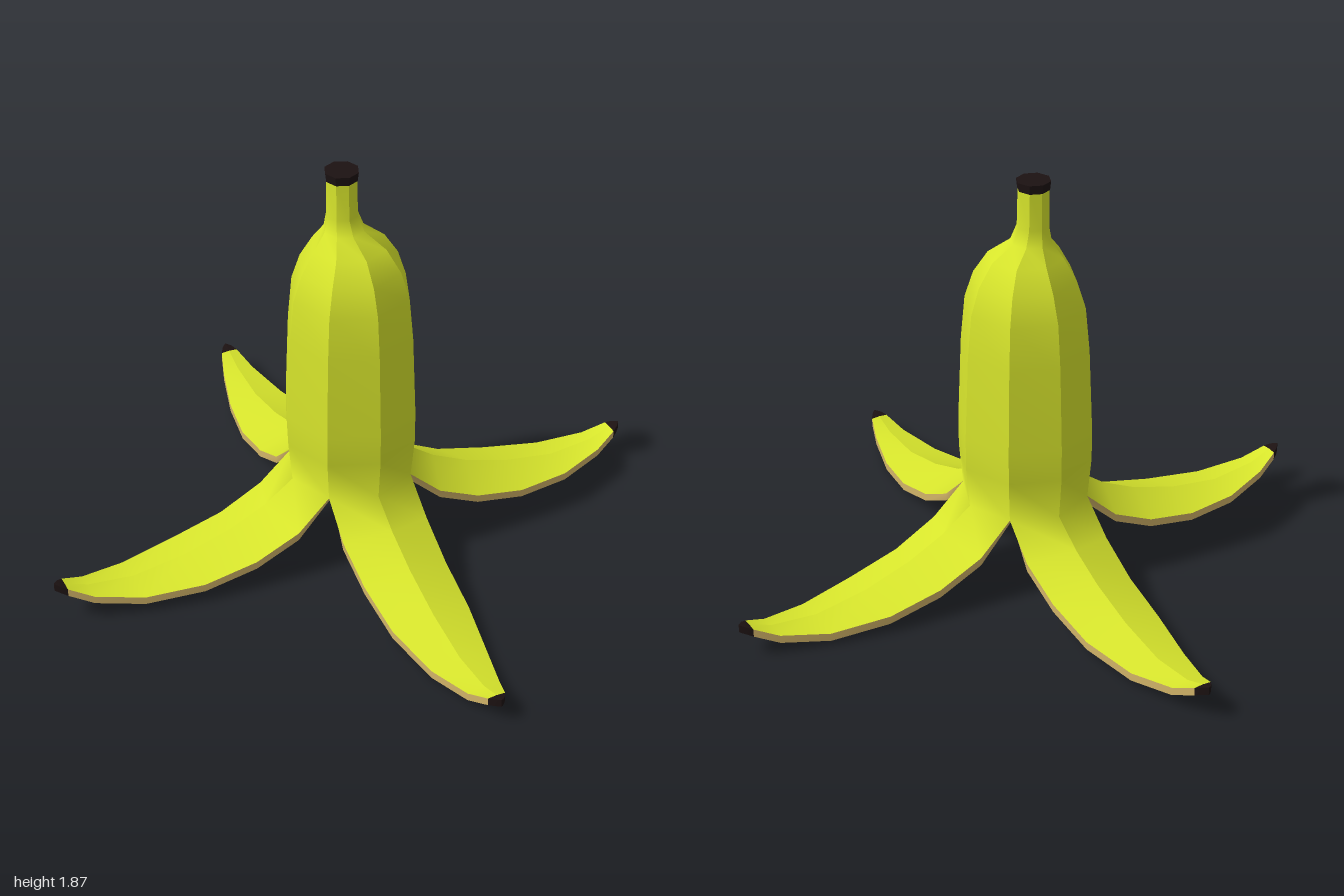
import * as THREE from 'three';
import { mergeGeometries } from 'three/addons/utils/BufferGeometryUtils.js';

// Body rings, top to bottom: height, radius, sideways shift of the centre
const BODY = [
  [1.83, 0.068, -0.037], [1.66, 0.07, -0.035], [1.59, 0.09, -0.027], [1.52, 0.165, -0.004],
  [1.42, 0.226, 0], [1.3, 0.265, 0], [1.1, 0.284, 0], [0.72, 0.3, 0], [0.57, 0.3, 0], [0.38, 0.283, 0],
];
// Petal sections: edge distance, half width, edge height, ridge distance, ridge height
const PETAL = [
  [0.35, 0.205, 0.24, 0.42, 0.28], [0.55, 0.198, 0.135, 0.59, 0.19], [0.79, 0.184, 0.068, 0.81, 0.11],
  [1.05, 0.134, 0.036, 1.05, 0.06], [1.26, 0.076, 0.06, 1.26, 0.072], [1.365, 0.04, 0.105, 1.365, 0.108],
];
const TIP = [PETAL[5], [1.39, 0.025, 0.115, 1.39, 0.118], [1.412, 0.003, 0.12, 1.412, 0.122]];
const THICK = 0.036;

const SKIN = new THREE.MeshStandardMaterial({ color: 0xd8e62c });
const FLESH = new THREE.MeshStandardMaterial({ color: 0xc0a255 });
const RIM = new THREE.MeshStandardMaterial({ color: 0xd2b468 });
const DARK = new THREE.MeshStandardMaterial({ color: 0x1c1212 });

// Surface between two rails of points, smooth along its length
function strip(a, b) {
  const pos = [], index = [];
  a.forEach((p, i) => {
    pos.push(...p, ...b[i]);
    if (i) {
      const k = 2 * i - 2;
      index.push(k, k + 1, k + 2, k + 1, k + 3, k + 2);
    }
  });
  const g = new THREE.BufferGeometry();
  g.setAttribute('position', new THREE.Float32BufferAttribute(pos, 3));
  g.setIndex(index);
  g.computeVertexNormals();
  return g;
}

function add(group, name, geometry, material) {
  const mesh = new THREE.Mesh(geometry, material);
  mesh.name = name;
  group.add(mesh);
  return mesh;
}

// One quarter of the peel: two body facets running on into a petal
function peelSegment(angle, lift) {
  const c = Math.cos(angle), n = Math.sin(angle);
  const at = (s, w, y, shift = 0) => [s * c - w * n + shift, y, s * n + w * c];
  const raise = (s) => lift * Math.max(0, s - 0.4);
  const bodyRow = ([y, r, shift]) => {
    const h = r * Math.SQRT1_2;
    return [at(h, -h, y, shift), at(r, 0, y, shift), at(h, h, y, shift)];
  };
  const petalRow = ([s, w, y, rs, ry], drop = 0) => {
    const e = y + raise(s) - drop;
    return [at(s, -w, e), at(rs, 0, ry + raise(rs) - drop), at(s, w, e)];
  };
  const rails = (rows) => [0, 1, 2].map((k) => rows.map((r) => r[k]));
  const outer = ([l, m, r]) => mergeGeometries([strip(l, m), strip(m, r)]);
  const inner = ([l, m, r]) => mergeGeometries([strip(m, l), strip(r, m)]);
  const sides = (o, i) => mergeGeometries([strip(i[0], o[0]), strip(o[2], i[2])]);

  const body = BODY.map(bodyRow);
  const top = PETAL.map((p) => petalRow(p));
  const innerStart = bodyRow([0.36, 0.25, 0]);
  const under = rails([innerStart, ...PETAL.map((p) => petalRow(p, THICK))]);
  const edge = rails([body[body.length - 1], ...top]);
  const tipTop = rails(TIP.map((p) => petalRow(p)));
  const tipUnder = rails(TIP.map((p) => petalRow(p, THICK)));

  const g = new THREE.Group();
  g.name = 'peelSegment';
  add(g, 'skin', outer(rails([...body, ...top])), SKIN);
  add(g, 'underside', inner(under), FLESH);
  add(g, 'cutEdge', sides(edge, under), RIM);
  // Dark petal tip, closed at the end
  const end = [tipTop, tipUnder].map((t) => t.map((rail) => rail[rail.length - 1]));
  add(g, 'petalTip', mergeGeometries([
    outer(tipTop), inner(tipUnder), sides(tipTop, tipUnder), strip(end[0], end[1].slice()),
  ]), DARK).material.side = THREE.DoubleSide;
  return g;
}

export function createModel() {
  const model = new THREE.Group();
  model.name = 'bananaPeel';

  // Four segments on the diagonals, each petal curling up a little differently
  [0, 0.07, 0.04, 0.033].forEach((lift, i) => {
    model.add(peelSegment(Math.PI / 4 + (i * Math.PI) / 2, lift));
  });

  // Floor closing the hollow body
  const floor = add(model, 'innerFloor', new THREE.CircleGeometry(0.25, 8), FLESH);
  floor.rotation.x = Math.PI / 2;
  floor.position.y = 0.36;

  // Dark stem end
  const capMaterial = DARK.clone();
  capMaterial.flatShading = true;
  const cap = add(model, 'stemCap', new THREE.CylinderGeometry(0.075, 0.07, 0.04, 8), capMaterial);
  cap.position.set(-0.037, 1.846, 0);

  return model;
}
